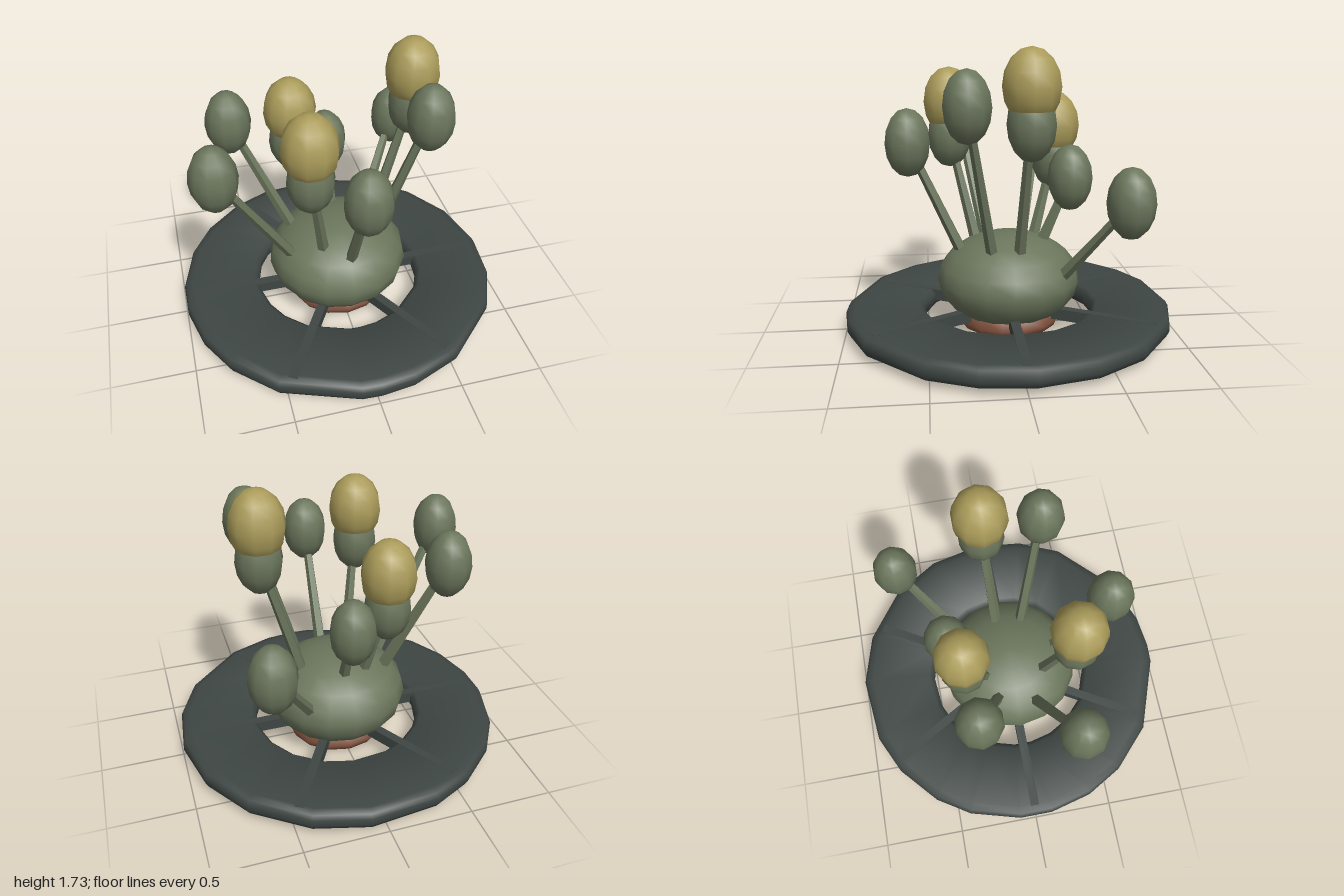
import * as THREE from 'three';
import { toCreasedNormals } from 'three/addons/utils/BufferGeometryUtils.js';

const paint = (name, color) => {
  const m = new THREE.MeshStandardMaterial({ color });
  m.name = name;
  return m;
};

export function createModel() {
  const group = new THREE.Group();
  const charcoal = paint('charcoal', 0x3e4643);
  const moss = paint('moss green', 0x6b765c);
  const ochre = paint('ochre', 0xab9c5a);
  const clay = paint('clay brown', 0x845440);

  const add = (name, geometry, material, parent = group) => {
    const mesh = new THREE.Mesh(geometry, material);
    mesh.name = name;
    parent.add(mesh);
    return mesh;
  };
  const profile = (pairs) => pairs.map(([x, y]) => new THREE.Vector2(x, y));

  // Flat ring with a rounded rim; uneven angles give it a hand-cut outline
  const section = profile([
    [0.52, 0.07], [0.54, 0.038], [0.94, 0.03], [0.985, 0.045], [1, 0.075], [1, 0.115],
    [0.985, 0.142], [0.94, 0.152], [0.55, 0.151], [0.52, 0.125], [0.52, 0.07],
  ]);
  const angles = [1, 13, 31, 58, 75, 93, 113, 133, 155, 174, 198, 213, 231, 245, 264, 276, 292, 307, 326, 354, 361];
  const ring = new THREE.LatheGeometry(section, angles.length - 1);
  const pos = ring.attributes.position;
  for (let i = 0; i < angles.length; i++) {
    const a = THREE.MathUtils.degToRad(angles[i] % 360);
    section.forEach((p, j) => pos.setXYZ(i * section.length + j, p.x * Math.sin(a), p.y, p.x * Math.cos(a)));
  }
  add('ring', toCreasedNormals(ring, 1.0), charcoal);

  // Six spokes running from the hub into the ring
  for (let i = 0; i < 6; i++) {
    const spoke = new THREE.BoxGeometry(0.74, 0.07, 0.055);
    spoke.translate(0.57, 0.118, 0);
    spoke.rotateY(i * Math.PI / 3);
    add('spoke', spoke, charcoal);
  }

  // Hub underneath
  const hub = new THREE.LatheGeometry(profile([
    [0, 0], [0.26, 0.004], [0.295, 0.025], [0.31, 0.06], [0.3, 0.12], [0.24, 0.16], [0, 0.17],
  ]), 14);
  add('hub', hub, clay);

  // Squat rounded body
  const body = add('body', new THREE.SphereGeometry(1, 16, 10), moss);
  body.scale.set(0.437, 0.285, 0.437);
  body.position.y = 0.31;

  // Tapered stem between two points
  const up = new THREE.Vector3(0, 1, 0);
  const addStem = (from, to, parent) => {
    const dir = to.clone().sub(from);
    const length = dir.length() + 0.04;
    const cyl = new THREE.CylinderGeometry(0.025, 0.037, length, 5);
    cyl.translate(0, length / 2 - 0.04, 0);
    const stem = add('stem', toCreasedNormals(cyl, 0.6), moss, parent);
    stem.position.copy(from);
    stem.quaternion.setFromUnitVectors(up, dir.normalize());
  };
  const bulbShape = new THREE.SphereGeometry(1, 10, 8);

  // Stalks: stem foot, bulb centre, and whether a cap sits on the bulb
  const stalks = [
    [[0.27, 0.41, -0.31], [0.54, 0.885, -0.62], false],
    [[0.01, 0.54, -0.21], [0.015, 0.93, -0.375], false],
    [[-0.28, 0.51, -0.12], [-0.595, 1.22, -0.27], false],
    [[-0.33, 0.48, 0.12], [-0.75, 1.22, 0.27], false],
    [[0.22, 0.54, 0.12], [0.465, 1.415, 0.27], false],
    [[0.015, 0.51, 0.3], [0.02, 1.16, 0.6], false],
    [[-0.13, 0.55, -0.18], [-0.215, 1.02, -0.305], true],
    [[-0.14, 0.55, 0.2], [-0.235, 1.17, 0.345], true],
    [[0.24, 0.54, -0.045], [0.47, 1.315, -0.075], true],
  ];
  for (const [foot, tip, capped] of stalks) {
    const stalk = new THREE.Group();
    stalk.name = 'stalk';
    group.add(stalk);
    addStem(new THREE.Vector3(...foot), new THREE.Vector3(...tip), stalk);
    const bulb = add('bulb', bulbShape, moss, stalk);
    bulb.position.set(...tip);
    bulb.scale.set(0.138, 0.204, 0.138);
    if (capped) {
      const cap = add('cap', bulbShape, ochre, stalk);
      cap.position.set(tip[0], tip[1] + 0.205, tip[2]);
      cap.scale.set(0.163, 0.213, 0.163);
    }
  }
  return group;
}
